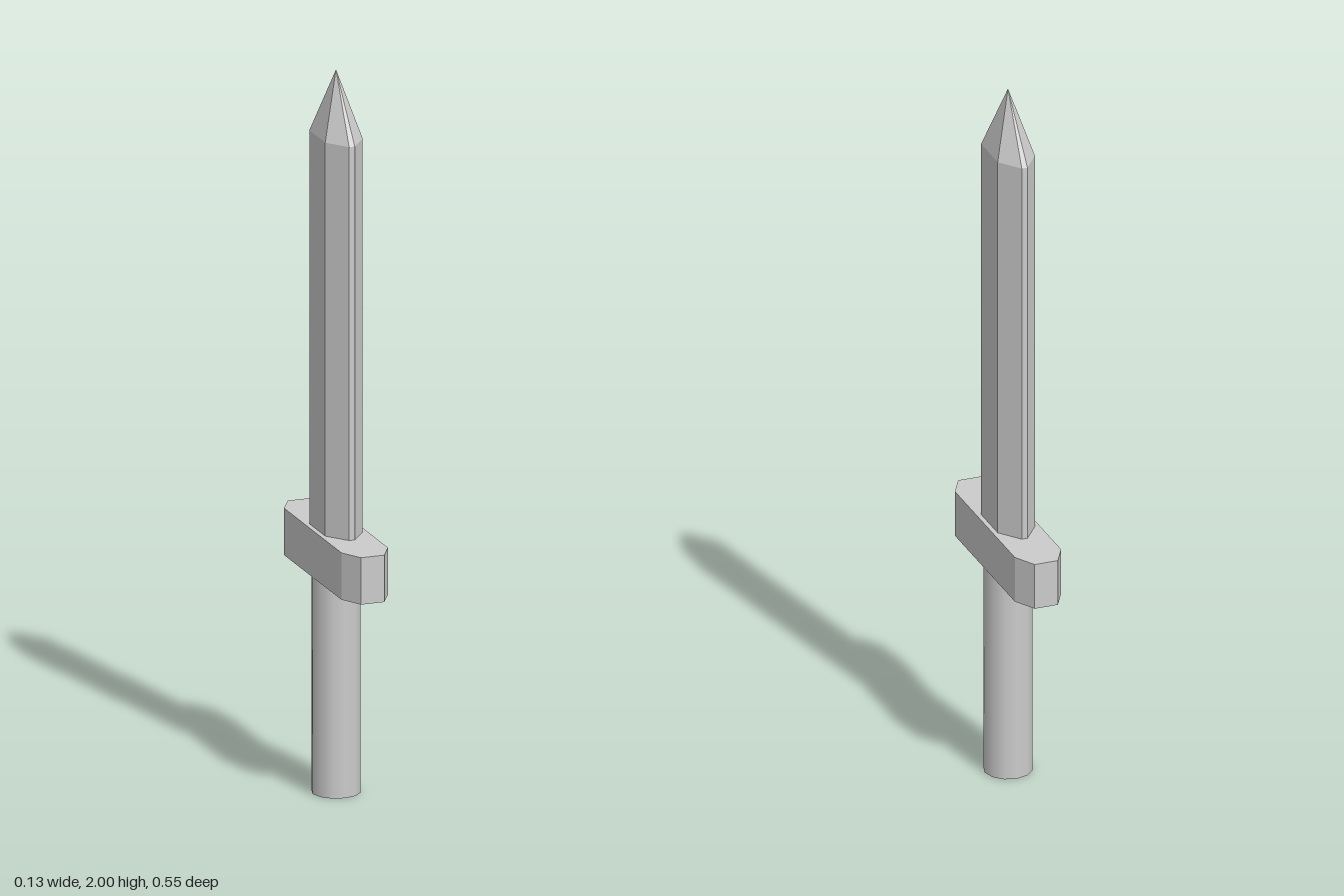
import * as THREE from 'three';

const steel = new THREE.MeshStandardMaterial({ color: 0xcccccc, flatShading: true });
const smooth = new THREE.MeshStandardMaterial({ color: 0xcccccc });

// Eight-cornered outline: half sizes w, d with corners cut back to w2, d2
const octagon = (w, d, w2, d2) => [
  [w, -d2], [w, d2], [w2, d], [-w2, d], [-w, d2], [-w, -d2], [-w2, -d], [w2, -d],
].map(([x, y]) => new THREE.Vector2(x, y));

// Upright prism over an outline
function prism(outline, y0, y1) {
  const geo = new THREE.ExtrudeGeometry(new THREE.Shape(outline), { depth: y1 - y0, bevelEnabled: false });
  return geo.rotateX(-Math.PI / 2).translate(0, y0, 0);
}

// Pyramid from an outline up to a central point
function point(outline, y0, y1) {
  const pos = [];
  outline.forEach((a, i) => {
    const b = outline[(i + 1) % outline.length];
    pos.push(a.x, y0, -a.y, b.x, y0, -b.y, 0, y1, 0);
  });
  const geo = new THREE.BufferGeometry();
  geo.setAttribute('position', new THREE.Float32BufferAttribute(pos, 3));
  geo.computeVertexNormals();
  return geo;
}

export function createModel() {
  const group = new THREE.Group();
  const add = (name, geo, material = steel) => {
    const mesh = new THREE.Mesh(geo, material);
    mesh.name = name;
    group.add(mesh);
  };

  // Round grip
  add('grip', new THREE.CylinderGeometry(0.066, 0.066, 0.6, 12).translate(0, 0.3, 0), smooth);

  // Cross guard with cut corners
  add('guard', prism(octagon(0.066, 0.276, 0.033, 0.216), 0.6, 0.73));

  // Bevelled blade and its pointed tip
  const section = octagon(0.053, 0.12, 0.008, 0.06);
  add('blade', prism(section, 0.73, 1.82));
  add('bladeTip', point(section, 1.82, 2));

  return group;
}
